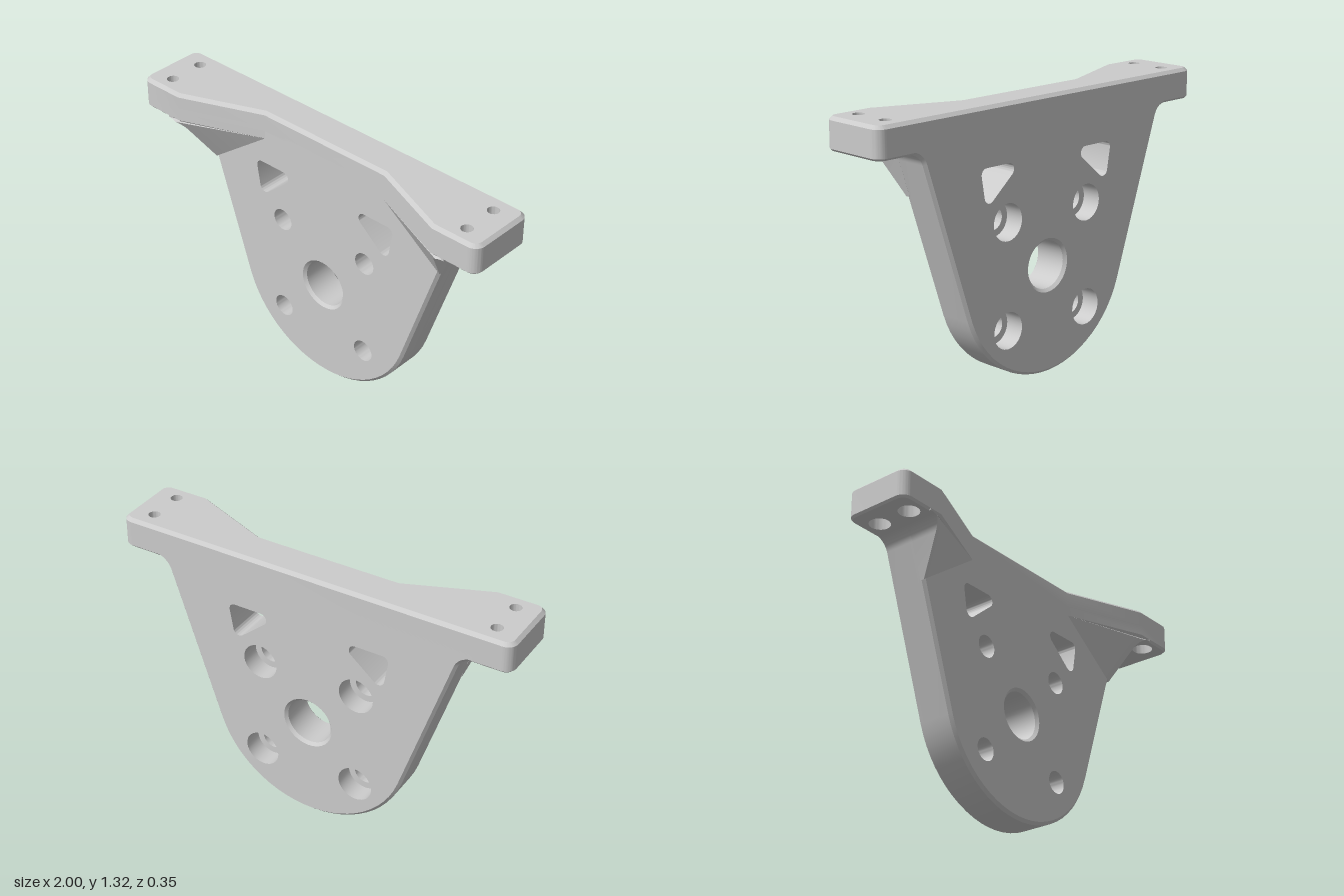
import * as THREE from 'three';
import { toCreasedNormals } from 'three/addons/utils/BufferGeometryUtils.js';

const V = (x, y) => new THREE.Vector2(x, y);
const material = new THREE.MeshStandardMaterial({ color: 0xcccccc });

// Counter-clockwise polygon from corners [x, y, radius], rounding with tangent arcs
function rounded(corners) {
  const pts = [];
  corners.forEach(([x, y, r = 0], i) => {
    const p = V(x, y);
    if (!r) return pts.push(p);
    const n = corners.length;
    const prev = corners[(i + n - 1) % n], next = corners[(i + 1) % n];
    const u1 = V(prev[0], prev[1]).sub(p).normalize();
    const u2 = V(next[0], next[1]).sub(p).normalize();
    const half = Math.acos(u1.dot(u2)) / 2, d = r / Math.tan(half);
    const c = u1.clone().add(u2).normalize().multiplyScalar(r / Math.sin(half)).add(p);
    const start = p.clone().addScaledVector(u1, d).sub(c).angle();
    let sweep = p.clone().addScaledVector(u2, d).sub(c).angle() - start;
    if (sweep > Math.PI) sweep -= 2 * Math.PI;
    if (sweep < -Math.PI) sweep += 2 * Math.PI;
    const steps = Math.max(4, Math.ceil(Math.abs(sweep) / 0.1));
    for (let k = 0; k <= steps; k++) {
      const a = start + sweep * k / steps;
      pts.push(V(c.x + r * Math.cos(a), c.y + r * Math.sin(a)));
    }
  });
  return THREE.ShapeUtils.isClockWise(pts) ? pts.reverse() : pts;
}

// Move a counter-clockwise outline inwards by c
function inset(pts, c) {
  const n = pts.length;
  return pts.map((p, i) => {
    const d1 = p.clone().sub(pts[(i + n - 1) % n]).normalize();
    const d2 = pts[(i + 1) % n].clone().sub(p).normalize();
    const k = c / (1 + d1.dot(d2));
    return V(p.x - k * (d1.y + d2.y), p.y + k * (d1.x + d2.x));
  });
}

// Clockwise round hole
function hole(x, y, r) {
  return Array.from({ length: 40 }, (_, i) => {
    const a = -i / 40 * Math.PI * 2;
    return V(x + r * Math.cos(a), y + r * Math.sin(a));
  });
}

// Solid through sections [z, outline, ...holes] from front to back; z may be a function of the point
function slab(sections) {
  const rings = sections.map(([z, ...loops]) => loops.map(loop => loop.map(
    p => new THREE.Vector3(p.x, p.y, typeof z === 'function' ? z(p) : z))));
  const pos = [];
  const tri = (a, b, c) => pos.push(...a, ...b, ...c);
  for (let s = 0; s + 1 < rings.length; s++) rings[s].forEach((A, l) => {
    const B = rings[s + 1][l];
    if (A.every((p, i) => p.distanceTo(B[i]) < 1e-6)) return;
    A.forEach((p, i) => {
      const j = (i + 1) % A.length;
      tri(p, B[i], B[j]);
      tri(p, B[j], A[j]);
    });
  });
  [0, sections.length - 1].forEach((s, back) => {
    const [, outline, ...holes] = sections[s], all = rings[s].flat();
    THREE.ShapeUtils.triangulateShape(outline, holes).forEach(([a, b, c]) =>
      back ? tri(all[a], all[c], all[b]) : tri(all[a], all[b], all[c]));
  });
  const g = new THREE.BufferGeometry();
  g.setAttribute('position', new THREE.Float32BufferAttribute(pos, 3));
  return toCreasedNormals(g, 0.5);
}

export function createModel() {
  const model = new THREE.Group();
  const add = (name, geometry) => {
    const mesh = new THREE.Mesh(geometry, material);
    mesh.name = name;
    model.add(mesh);
    return mesh;
  };
  const front = 0.012, back = -0.176, under = 1.17, top = 1.32, c = 0.014;
  const mirror = half => [...half, ...half.map(([x, ...rest]) => [-x, ...rest]).reverse()];

  // Upright plate with bore, counterbored bolt holes and triangular windows
  const plate = rounded([[0, -1.123, 0.52], ...mirror([[0.764, under, 0.083], [0.83, under], [0.83, 1.25]])]);
  const windows = [-1, 1].map(s => rounded(
    [[s * 0.421, 1.045, 0.03], [s * 0.389, 0.855, 0.03], [s * 0.165, 1.045, 0.03]]).reverse());
  const bolts = r => [-1, 1].flatMap(s => [0.265, 0.775].map(y => hole(s * 0.255, y, r)));
  const plateSection = (z, chamfer, boltRadius) => [z, chamfer ? inset(plate, chamfer) : plate,
    hole(0, 0.522, 0.115 + chamfer), ...bolts(boltRadius), ...windows];
  add('mountingPlate', slab([
    plateSection(front, c, 0.055),
    plateSection(front - c, 0, 0.055),
    plateSection(-0.08, 0, 0.055),
    plateSection(-0.08, 0, 0.088),
    plateSection(back + c, 0, 0.088),
    plateSection(back, c, 0.088),
  ]));

  // Top flange, drawn in plan with its front towards -y, then laid flat
  const flange = rounded(mirror([[0.36, -front], [0.76, -0.172], [1, -0.172, 0.05], [1, -back, 0.05]]));
  const screws = r => [-1, 1].flatMap(s => [-0.09, 0.085].map(v => hole(s * 0.88, v, r)));
  add('topFlange', slab([
    [top, inset(flange, 0.016), ...screws(0.028)],
    [top - 0.016, flange, ...screws(0.028)],
    [under + 0.06, flange, ...screws(0.028)],
    [under + 0.06, flange, ...screws(0.05)],
    [under + 0.01, flange, ...screws(0.05)],
    [under, inset(flange, 0.01), ...screws(0.05)],
  ]).rotateX(-Math.PI / 2));

  // Sloping gussets between plate and flange
  const seam = under + 0.01;
  const slope = p => Math.min(0.172, front + 0.4 * (Math.abs(p.x) - 0.36) + 0.547 * (p.y - seam));
  for (const [name, s] of [['leftGusset', 1], ['rightGusset', -1]]) {
    const outline = rounded([[s * 0.36, seam], [s * 0.688, 0.94],
      [s * 0.764, under, 0.083], [s * 0.83, under], [s * 0.83, seam]]);
    add(name, slab([[slope, outline], [-0.01, outline]]));
  }
  return model;
}
